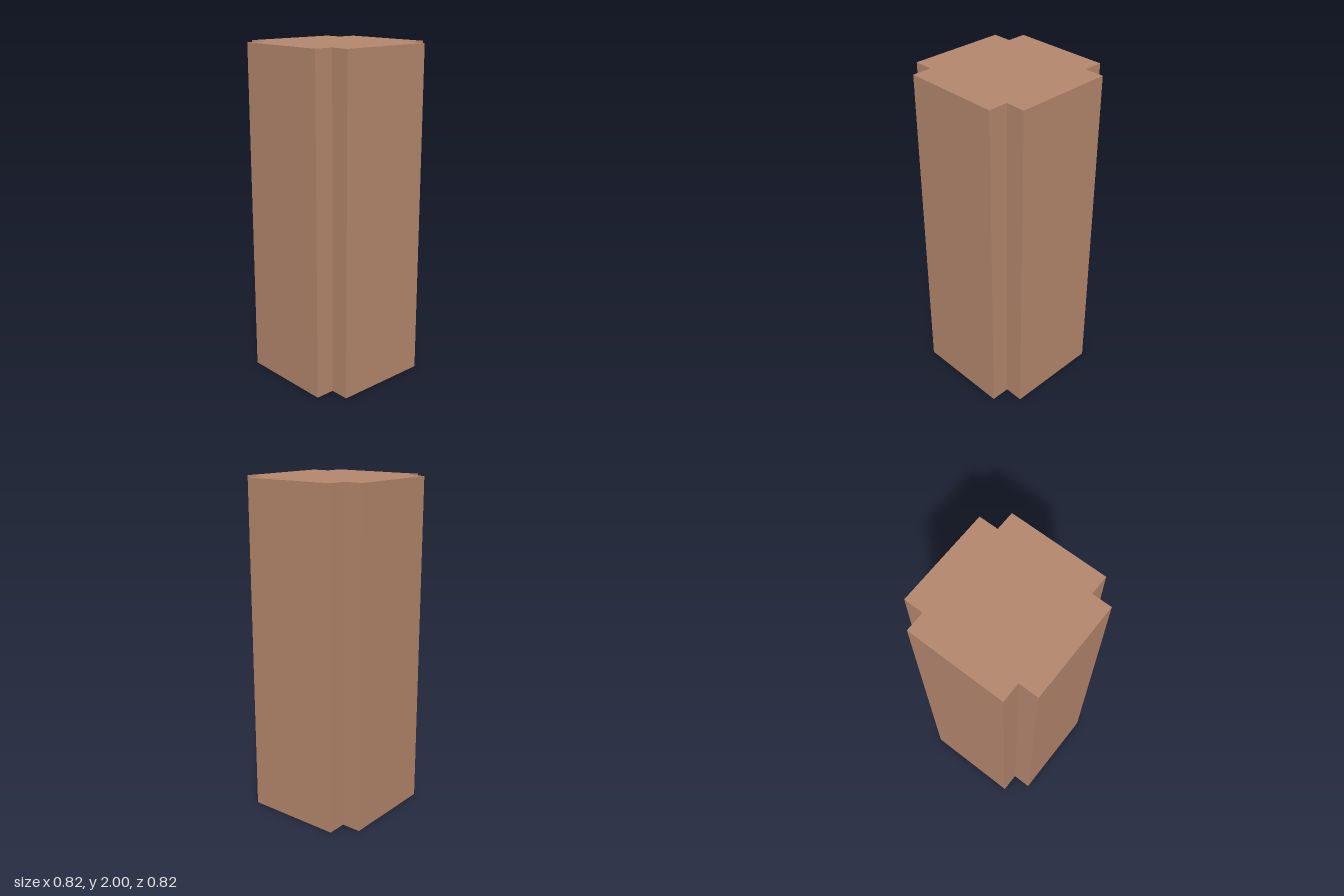
import * as THREE from 'three';

export function createModel() {
  const group = new THREE.Group();
  group.name = 'pillar';

  const clay = new THREE.MeshStandardMaterial({ color: 0xb5876d });
  clay.name = 'clay brown';

  // Square plan with a small notch cut from each corner
  const outer = 0.411, inner = 0.294, height = 2;
  const points = [];
  for (let i = 0; i < 4; i++) {
    const corner = new THREE.Vector2();
    for (const [x, y] of [[outer, inner], [inner, inner], [inner, outer]]) {
      points.push(new THREE.Vector2(x, y).rotateAround(corner, i * Math.PI / 2));
    }
  }

  // Raise the plan into an upright shaft standing on the ground
  const geometry = new THREE.ExtrudeGeometry(new THREE.Shape(points), {
    depth: height,
    bevelEnabled: false,
  });
  geometry.rotateX(-Math.PI / 2);

  const shaft = new THREE.Mesh(geometry, clay);
  shaft.name = 'notchedShaft';
  group.add(shaft);
  return group;
}
